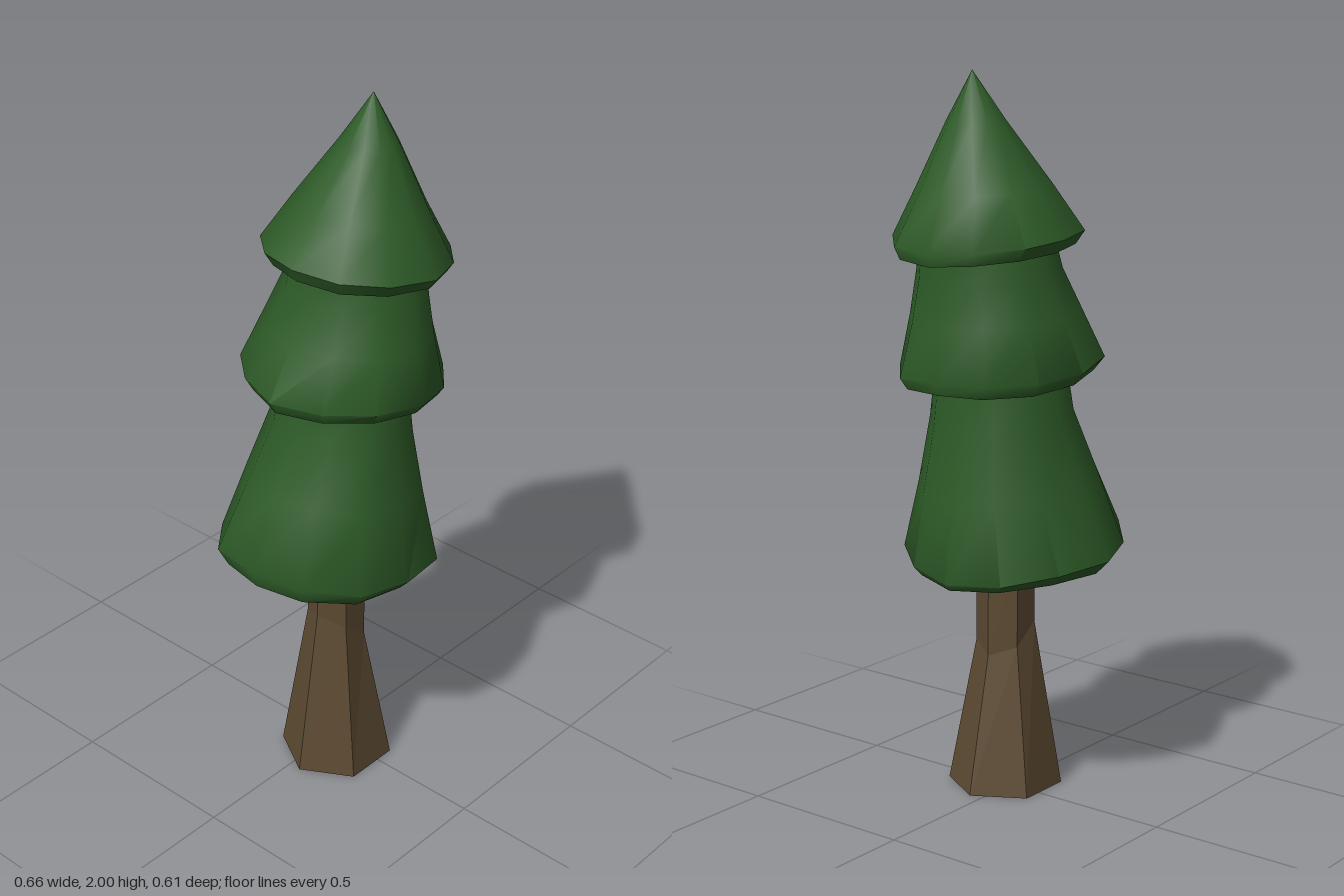
import * as THREE from 'three';
import { toCreasedNormals } from 'three/addons/utils/BufferGeometryUtils.js';

// Skins a stack of tilted elliptical rings, listed bottom to top.
// Ring: [centre x, centre y, centre z, radius x, radius z, slope of y along x, wobble]
function loft(rings, sides) {
  const pos = [];
  const point = ([cx, cy, cz, rx, rz, slope, wobble = 0], i) => {
    const a = ((i % sides) / sides) * Math.PI * 2;
    const k = 1 + wobble * Math.sin(a * 5 + cy * 4);
    const x = Math.cos(a) * rx * k;
    const y = cy + slope * x + wobble * rx * 0.8 * Math.sin(a * 3 + cy * 7);
    return [cx + x, y, cz + Math.sin(a) * rz * k];
  };
  for (let r = 0; r < rings.length - 1; r++) {
    const lo = rings[r], hi = rings[r + 1];
    for (let i = 0; i < sides; i++) {
      const a = point(lo, i), b = point(lo, i + 1), c = point(hi, i), d = point(hi, i + 1);
      if (lo[3] > 0) pos.push(...a, ...c, ...b);
      if (hi[3] > 0) pos.push(...b, ...c, ...d);
    }
  }
  const geo = new THREE.BufferGeometry();
  geo.setAttribute('position', new THREE.Float32BufferAttribute(pos, 3));
  geo.computeVertexNormals();
  return geo;
}

export function createModel() {
  const tree = new THREE.Group();
  tree.name = 'pineTree';

  // Six-sided trunk, flared at the foot and narrowing at a slanted kink
  const trunk = new THREE.Mesh(
    loft([
      [-0.025, 0, 0.037, 0, 0, 0],
      [-0.025, 0, 0.037, 0.16, 0.16, 0],
      [-0.027, 0.445, 0.037, 0.078, 0.083, -0.75],
      [-0.027, 0.69, 0.037, 0.076, 0.083, 0],
      [-0.027, 0.69, 0.037, 0, 0, 0],
    ], 6),
    new THREE.MeshStandardMaterial({ color: 0x5c4a32, flatShading: true }),
  );
  trunk.name = 'trunk';
  tree.add(trunk);

  // Three leaning skirts of foliage in one skin: lip, rim, flare and neck of each
  const foliageRings = [
    [-0.03, 0.665, 0, 0, 0, 0],
    // lower skirt
    [-0.025, 0.663, 0, 0.285, 0.27, -0.09, 0.02],
    [-0.027, 0.7, 0, 0.305, 0.306, -0.14, 0.025],
    [0.0, 0.9, 0.005, 0.25, 0.245, -0.16, 0.015],
    [0.025, 1.08, 0.01, 0.188, 0.2, -0.14, 0.01],
    [0.028, 1.21, 0.01, 0.178, 0.18, -0.1],
    // middle skirt
    [0.035, 1.187, 0.01, 0.262, 0.25, -0.09, 0.02],
    [0.03, 1.222, 0.01, 0.28, 0.278, -0.1, 0.025],
    [0.048, 1.36, 0.015, 0.228, 0.235, -0.1, 0.015],
    [0.07, 1.475, 0.018, 0.19, 0.2, -0.1, 0.01],
    [0.075, 1.56, 0.02, 0.185, 0.18, -0.08],
    // top cone
    [0.08, 1.537, 0.02, 0.238, 0.235, -0.11, 0.02],
    [0.075, 1.572, 0.02, 0.253, 0.26, -0.12, 0.02],
    [0.085, 1.7, 0.022, 0.175, 0.185, -0.1, 0.01],
    [0.108, 1.87, 0.028, 0.077, 0.08, -0.05],
    [0.12, 2, 0.03, 0, 0, 0],
  ];
  const foliage = new THREE.Mesh(
    toCreasedNormals(loft(foliageRings, 12), 1.0),
    new THREE.MeshStandardMaterial({ color: 0x2d5a27 }),
  );
  foliage.name = 'foliage';
  tree.add(foliage);

  return tree;
}
